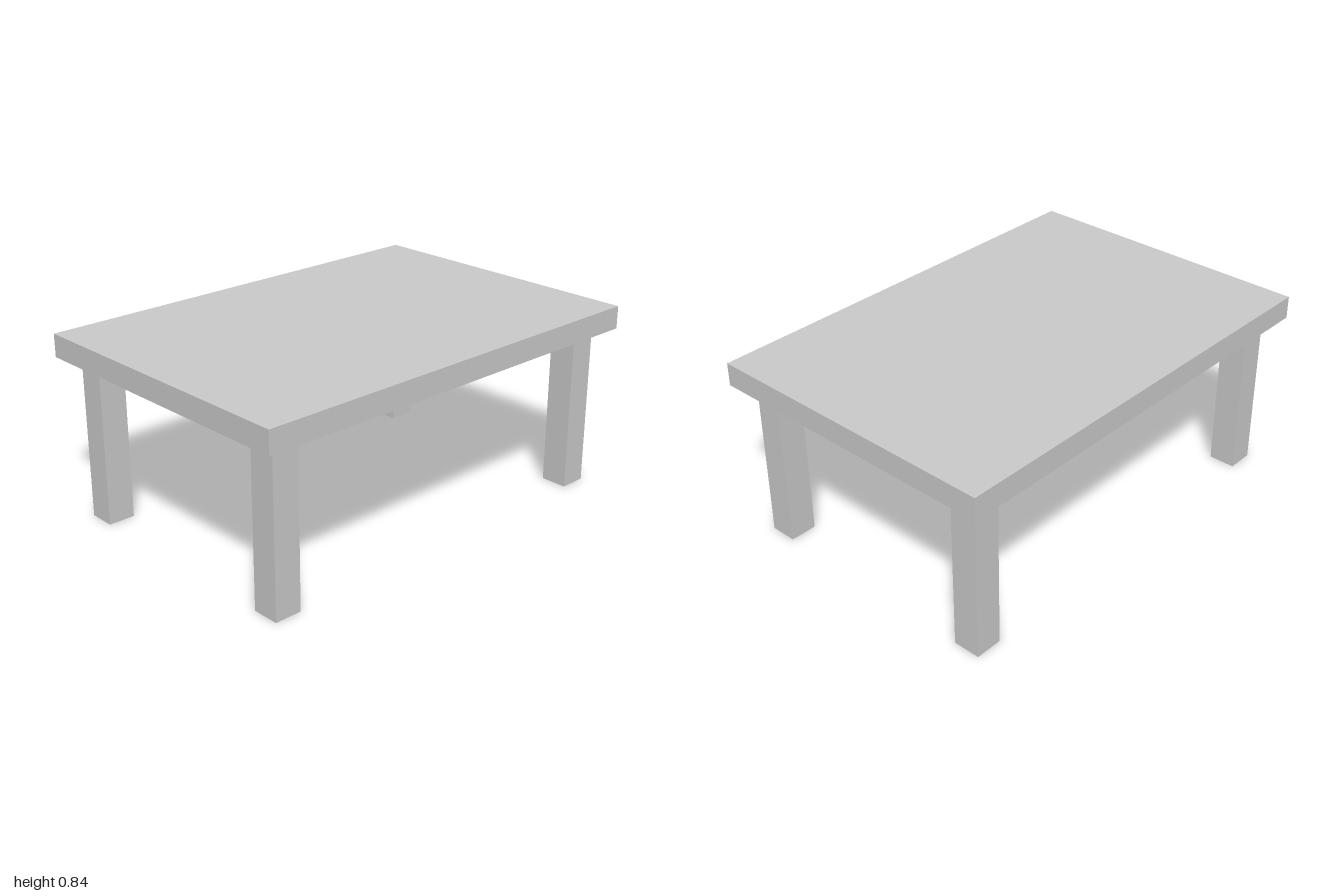
import * as THREE from 'three';

export function createModel() {
  const model = new THREE.Group();
  model.name = 'table';
  const material = new THREE.MeshStandardMaterial({ color: 0xcccccc, flatShading: true });

  const height = 0.836, underside = 0.733, depth = 1.373;
  const legWidth = 0.123, legX = 0.862, legZ = 0.549;

  const addBox = (name, w, h, d, x, y, z) => {
    const mesh = new THREE.Mesh(new THREE.BoxGeometry(w, h, d), material);
    mesh.name = name;
    mesh.position.set(x, y, z);
    model.add(mesh);
  };

  // Tabletop slab
  addBox('tabletop', 2, height - underside, depth, 0, (height + underside) / 2, 0);

  // Four square legs, inset from the corners
  for (const [sideX, nameX] of [[1, 'Left'], [-1, 'Right']]) {
    for (const [sideZ, nameZ] of [[1, 'front'], [-1, 'back']]) {
      addBox(`${nameZ}${nameX}Leg`, legWidth, underside, legWidth, sideX * legX, underside / 2, sideZ * legZ);
    }
  }

  return model;
}
